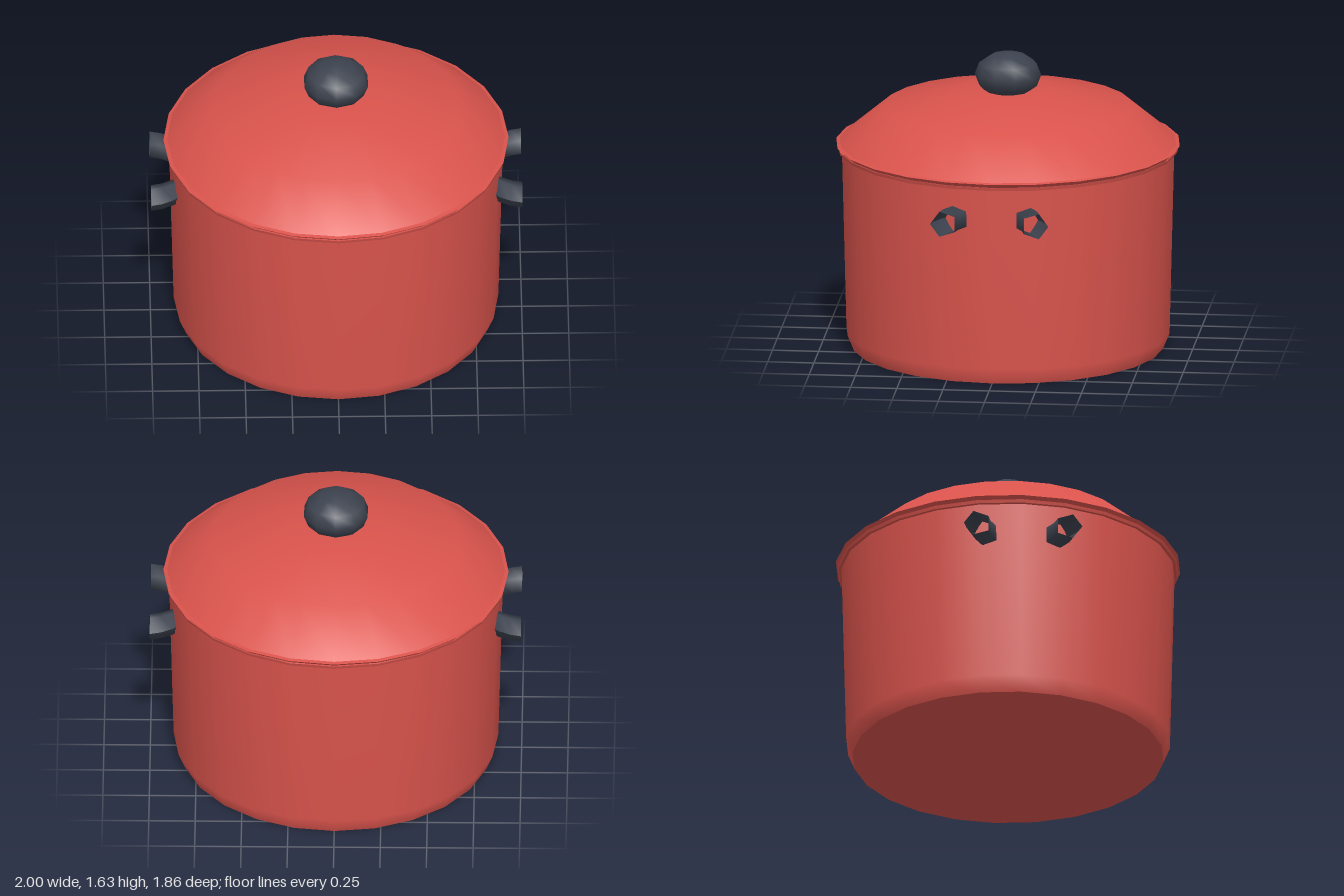
import * as THREE from 'three';

const red = new THREE.MeshStandardMaterial({ color: 0xd9534c, side: THREE.DoubleSide });
const dark = new THREE.MeshStandardMaterial({ color: 0x3c424e, side: THREE.DoubleSide });

function part(parent, name, geometry, material) {
  const mesh = new THREE.Mesh(geometry, material);
  mesh.name = name;
  parent.add(mesh);
  return mesh;
}

// Profile points run upwards as [radius, height]
const lathe = (points, sides) =>
  new THREE.LatheGeometry(points.map(([r, y]) => new THREE.Vector2(r, y)), sides);

// Open five-sided tube that bends towards the middle as it enters the wall
function stubGeometry() {
  const geometry = new THREE.CylinderGeometry(0.073, 0.073, 0.18, 5, 3, true);
  geometry.rotateZ(-Math.PI / 2).translate(0.91, 0.92, 0);
  const p = geometry.attributes.position;
  for (let i = 0; i < p.count; i++) {
    const d = 1 - p.getX(i);
    p.setZ(i, p.getZ(i) + 0.247 - 2.5 * d * d - 0.12 * d);
  }
  geometry.computeVertexNormals();
  return geometry;
}

export function createModel() {
  const model = new THREE.Group();
  model.name = 'cookingPot';

  // Pot: flat base, bevelled foot and slightly flaring wall
  const pot = new THREE.Group();
  pot.name = 'pot';
  model.add(pot);
  part(pot, 'base', lathe([[0, 0], [0.84, 0]], 24), red);
  part(pot, 'wall', lathe([[0.84, 0], [0.875, 0.085], [0.9, 1.09]], 24), red);
  part(pot, 'potRim', lathe([[0.895, 1.088], [0.915, 1.09]], 24), red);
  part(pot, 'potLip', lathe([[0.915, 1.09], [0.92, 1.107]], 24), red);

  // Lid: undercut rim below a stepped dome with a flat top
  const lid = new THREE.Group();
  lid.name = 'lid';
  model.add(lid);
  part(lid, 'rimUnderside', lathe([[0.905, 1.105], [0.93, 1.127]], 24), red);
  part(lid, 'rimTop', lathe([[0.93, 1.127], [0.91, 1.132]], 24), red);
  part(lid, 'dome', lathe([[0.91, 1.132], [0.67, 1.332], [0.255, 1.415], [0, 1.415]], 24), red);

  // Squashed knob resting on the lid
  const knob = part(lid, 'knob', new THREE.SphereGeometry(0.18, 10, 6), dark);
  knob.rotation.y = Math.PI / 2;
  knob.scale.y = 0.125 / 0.18;
  knob.position.y = 1.505;

  // Two handle stubs on each side
  for (const [side, turn] of [['left', 0], ['right', Math.PI]]) {
    const handle = new THREE.Group();
    handle.name = side + 'Handle';
    handle.rotation.y = turn;
    model.add(handle);
    part(handle, 'handleStub', stubGeometry(), dark);
    const twin = stubGeometry().translate(0, -0.92, 0).rotateX(Math.PI).translate(0, 0.92, 0);
    part(handle, 'handleStub', twin, dark);
  }
  return model;
}
